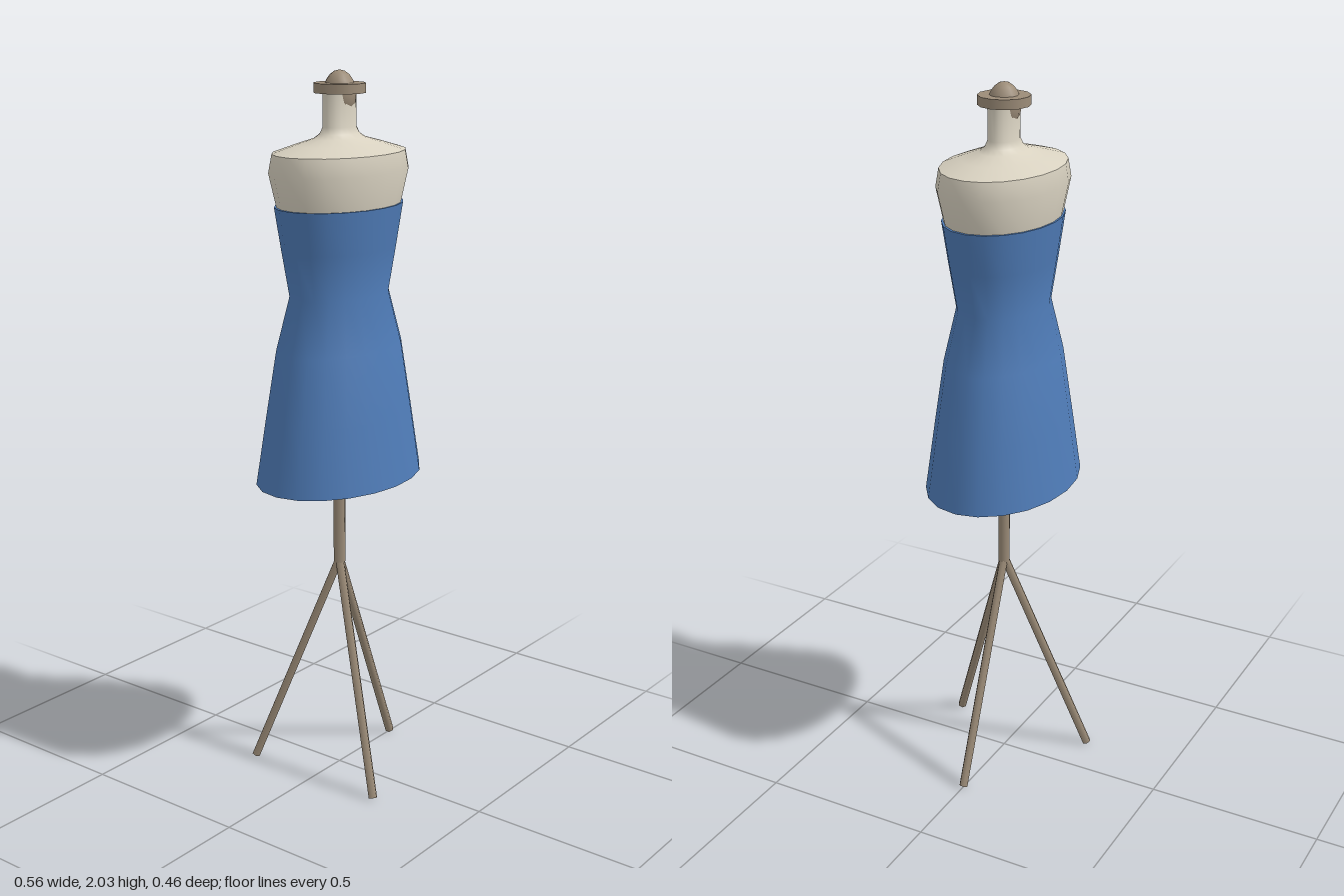
import * as THREE from 'three';
import { toCreasedNormals } from 'three/addons/utils/BufferGeometryUtils.js';

const DEPTH = 0.715; // torso depth relative to its width

const mat = (name, color) => {
  const m = new THREE.MeshStandardMaterial({ color });
  m.name = name;
  return m;
};

export function createModel() {
  const group = new THREE.Group();
  const blue = mat('blue fabric', 0x4f7cb8);
  const cream = mat('cream linen', 0xd8d1c0);
  const wood = mat('brown wood', 0x9c8c78);

  const add = (name, geometry, material) => {
    const mesh = new THREE.Mesh(geometry, material);
    mesh.name = name;
    group.add(mesh);
    return mesh;
  };

  // Oval turned form from [radius, height] points, bottom to top
  const ovalLathe = (profile) => {
    const g = new THREE.LatheGeometry(profile.map(([r, y]) => new THREE.Vector2(r, y)), 20);
    g.scale(1, 1, DEPTH);
    return toCreasedNormals(g, 0.65);
  };

  // Straight round rod between two points
  const rod = (name, from, to, radius, sides) => {
    const dir = to.clone().sub(from);
    const mesh = add(name, new THREE.CylinderGeometry(radius, radius, dir.length(), sides), wood);
    mesh.position.copy(from).add(to).multiplyScalar(0.5);
    mesh.quaternion.setFromUnitVectors(new THREE.Vector3(0, 1, 0), dir.normalize());
  };

  // Dress with a shallow closed underside
  add('dress', ovalLathe([
    [0, 0.885], [0.28, 0.908], [0.245, 1.1], [0.21, 1.285], [0.165, 1.433],
    [0.19, 1.56], [0.212, 1.678], [0.19, 1.678],
  ]), blue);

  // Bust, shoulders and neck
  add('bust', ovalLathe([
    [0.19, 1.6], [0.205, 1.68], [0.229, 1.77], [0.218, 1.82], [0.145, 1.84],
    [0.085, 1.855], [0.065, 1.867], [0.055, 1.885], [0.054, 1.978], [0, 1.978],
  ]), cream);

  // Neck cap, with its rounded plug showing through the narrow neck
  add('neckCap', new THREE.CylinderGeometry(0.071, 0.071, 0.026, 12), wood).position.y = 1.987;
  const plug = add('neckPlug', new THREE.SphereGeometry(1, 12, 10), wood);
  plug.scale.set(0.045, 0.064, 0.045);
  plug.position.y = 1.97;

  // Stand: centre pole and three splayed legs
  rod('pole', new THREE.Vector3(0, 0.64, 0), new THREE.Vector3(0, 0.93, 0), 0.017, 8);
  for (let i = 0; i < 3; i++) {
    const a = (i * Math.PI * 2) / 3;
    const foot = new THREE.Vector3(0.254 * Math.cos(a), 0.005, 0.254 * Math.sin(a));
    rod('leg' + (i + 1), foot, new THREE.Vector3(0, 0.65, 0), 0.013, 6);
  }
  return group;
}
